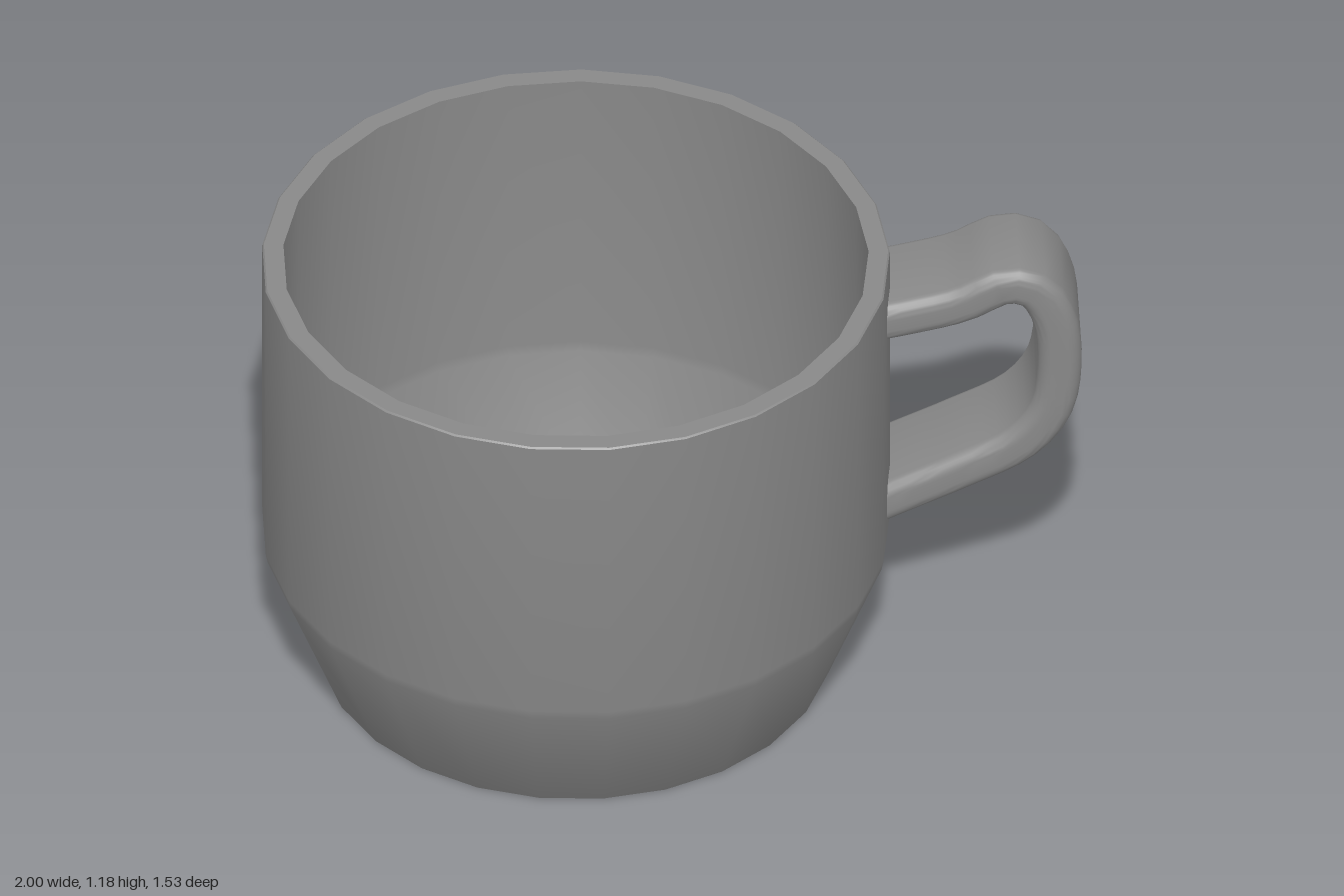
import * as THREE from 'three';
import { toCreasedNormals } from 'three/addons/utils/BufferGeometryUtils.js';

const CUP_X = -0.237; // axis of the cup body
const HANDLE_Z = -0.057; // mid-plane of the handle
const HANDLE_END = 0.503; // upright plane inside the wall where the handle stops

// Rounded rectangle, centred on the origin
function roundedRect(w, h, r) {
  const x = w / 2, y = h / 2;
  const s = new THREE.Shape();
  s.absarc(x - r, y - r, r, 0, Math.PI / 2);
  s.absarc(-x + r, y - r, r, Math.PI / 2, Math.PI);
  s.absarc(-x + r, -y + r, r, Math.PI, Math.PI * 1.5);
  s.absarc(x - r, -y + r, r, Math.PI * 1.5, Math.PI * 2);
  return s;
}

export function createModel() {
  const group = new THREE.Group();
  group.name = 'cup';
  const material = new THREE.MeshStandardMaterial({ color: 0x888888 });

  // Body: outside wall, rim and inside wall as one closed profile
  const profile = [
    [0, 0], [0.625, 0], [0.628, 0.004], [0.764, 0.35], [0.769, 0.375],
    [0.769, 1.181], [0.765, 1.185], [0.717, 1.185],
    [0.717, 0.385], [0.712, 0.36], [0.583, 0.045], [0, 0.045],
  ].map(([r, y]) => new THREE.Vector2(r, y));
  const bodyGeometry = new THREE.LatheGeometry(profile, 25, Math.PI / 2);
  const body = new THREE.Mesh(toCreasedNormals(bodyGeometry, Math.PI / 6), material);
  body.name = 'body';
  body.position.x = CUP_X;
  group.add(body);

  // Handle: rounded strap swept along a curve
  const path = new THREE.CatmullRomCurve3([
    [0.48, 1.003], [0.59, 1.026], [0.705, 1.056], [0.815, 1.108], [0.882, 1.092],
    [0.929, 1.015], [0.946, 0.88], [0.925, 0.73], [0.853, 0.63],
    [0.7, 0.545], [0.58, 0.488], [0.48, 0.44],
  ].map(([x, y]) => new THREE.Vector3(x, y, 0)));
  const strap = new THREE.ExtrudeGeometry(roundedRect(0.276, 0.108, 0.038), {
    steps: 32, curveSegments: 4, bevelEnabled: false, extrudePath: path,
  });

  // Slide the ends along the strap so both stop upright within the wall
  const pos = strap.attributes.position;
  for (let i = 0; i < pos.count; i++) {
    const slide = HANDLE_END - pos.getX(i);
    if (slide <= 0) continue;
    const slope = pos.getY(i) > 0.75 ? 0.21 : 0.48;
    pos.setXY(i, HANDLE_END, pos.getY(i) + slide * slope);
  }

  const handle = new THREE.Mesh(toCreasedNormals(strap, Math.PI / 4), material);
  handle.name = 'handle';
  handle.position.z = HANDLE_Z;
  group.add(handle);

  return group;
}
